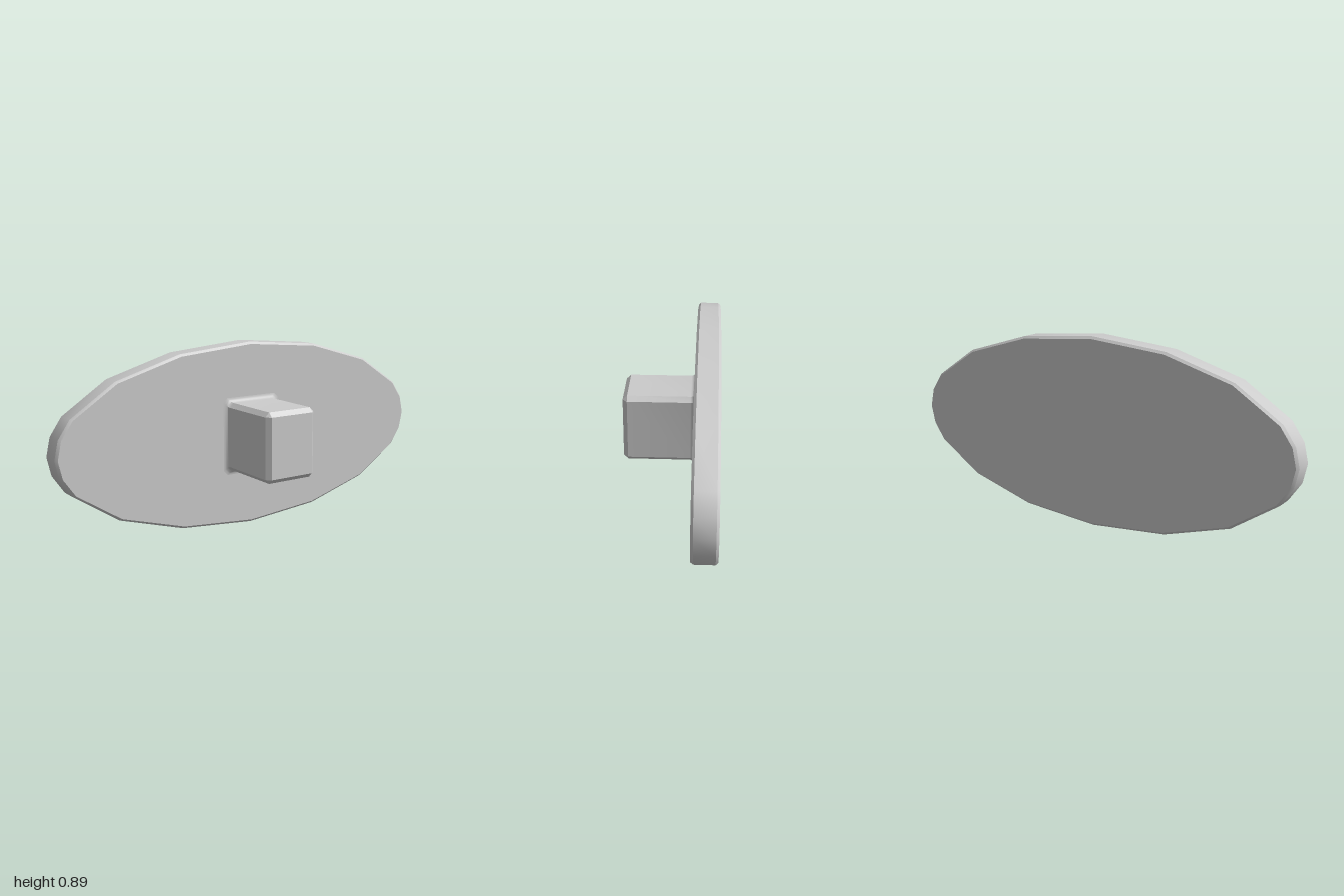
import * as THREE from 'three';
import { toCreasedNormals } from 'three/addons/utils/BufferGeometryUtils.js';

const CENTRE_Y = 0.445;

// Skin closed rings of [x, y, z] points, ordered back to front and
// counter-clockwise seen from the front, with flat caps where asked.
function loft(rings, capBack, capFront) {
  const n = rings[0].length;
  const index = [];
  for (let r = 0; r < rings.length - 1; r++) {
    for (let i = 0; i < n; i++) {
      const j = (i + 1) % n;
      const a = r * n + i, b = r * n + j;
      index.push(a, b, b + n, a, b + n, a + n);
    }
  }
  const last = (rings.length - 1) * n;
  for (let i = 1; i < n - 1; i++) {
    if (capBack) index.push(0, i + 1, i);
    if (capFront) index.push(last, last + i, last + i + 1);
  }
  const geometry = new THREE.BufferGeometry();
  geometry.setAttribute('position', new THREE.Float32BufferAttribute(rings.flat(2), 3));
  geometry.setIndex(index);
  return toCreasedNormals(geometry, 0.6);
}

// Sixteen-step ellipse with one extra step on each side of both tips
function ellipseRing(inset, z) {
  const steps = [0, 0.5, 1, 2, 3, 4, 5, 6, 7, 7.5, 8, 8.5, 9, 10, 11, 12, 13, 14, 15, 15.5];
  return steps.map((s) => {
    const t = (s * Math.PI) / 8;
    return [(1 - inset) * Math.cos(t), (CENTRE_Y - inset) * Math.sin(t), z];
  });
}

// Rectangle with corners cut by c
function postRing(grow, c, z) {
  const w = 0.135 + grow, h = 0.165 + grow;
  return [
    [w, -h + c, z], [w, h - c, z], [w - c, h, z], [-w + c, h, z],
    [-w, h - c, z], [-w, -h + c, z], [-w + c, -h, z], [w - c, -h, z],
  ];
}

export function createModel() {
  const group = new THREE.Group();
  const material = new THREE.MeshStandardMaterial({ color: 0xcccccc });
  const add = (name, geometry) => {
    const mesh = new THREE.Mesh(geometry, material);
    mesh.name = name;
    mesh.position.y = CENTRE_Y;
    group.add(mesh);
  };

  // Oval plate with small bevels on both faces
  add('ovalPlate', loft([
    ellipseRing(0.011, -0.222),
    ellipseRing(0, -0.211),
    ellipseRing(0, -0.122),
    ellipseRing(0.011, -0.111),
  ], true, true));

  // Post: concave fillet at the plate, straight shaft, chamfered end
  const fillet = 0.022, segments = 5;
  const rings = [];
  for (let i = 0; i <= segments; i++) {
    const t = (i / segments) * Math.PI / 2;
    rings.push(postRing(fillet * (1 - Math.sin(t)), 0.021, -0.111 + fillet * (1 - Math.cos(t))));
  }
  rings.push(postRing(0, 0.021, 0.201), postRing(-0.021, 0, 0.222));
  add('post', loft(rings, false, true));

  return group;
}
